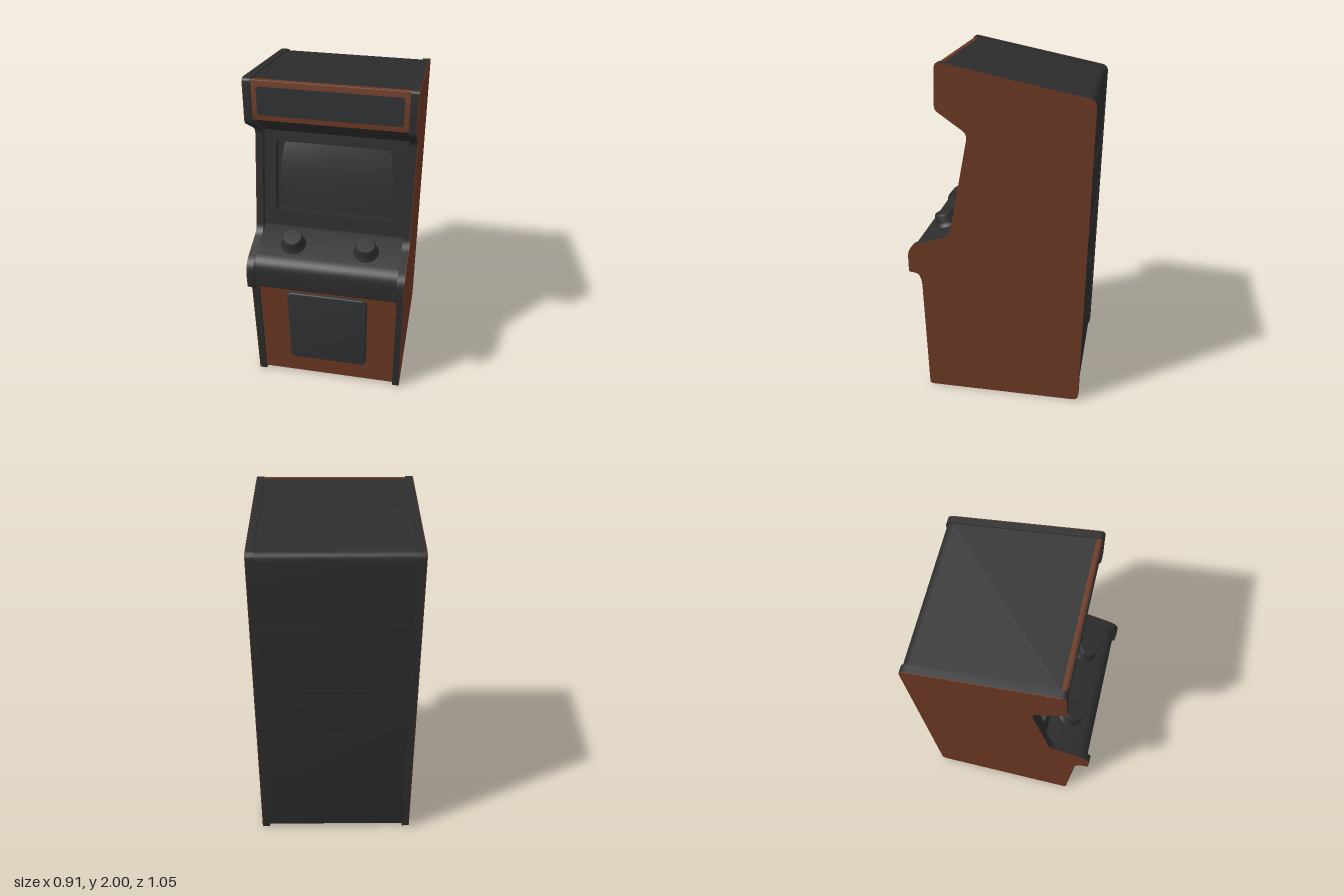
import * as THREE from 'three';
import { toCreasedNormals } from 'three/addons/utils/BufferGeometryUtils.js';

const mat = (name, color) => {
  const m = new THREE.MeshStandardMaterial({ color });
  m.name = name;
  return m;
};

// Closed outline from [x, y, cornerRadius] points
function roundedShape(points) {
  const shape = new THREE.Shape();
  const n = points.length;
  points.forEach(([x, y, r = 0], i) => {
    const toward = ([px, py]) => {
      const d = Math.hypot(px - x, py - y);
      const t = Math.min(r, d * 0.49) / d;
      return [x + (px - x) * t, y + (py - y) * t];
    };
    const a = toward(points[(i + n - 1) % n]);
    const b = toward(points[(i + 1) % n]);
    if (i === 0) shape.moveTo(...a);
    else shape.lineTo(...a);
    if (r > 0) shape.quadraticCurveTo(x, y, ...b);
  });
  shape.closePath();
  return shape;
}

const rect = (x0, x1, y0, y1, r) =>
  roundedShape([[x0, y0, r], [x1, y0, r], [x1, y1, r], [x0, y1, r]]);

function extrude(shape, depth, bevel = 0) {
  const geo = new THREE.ExtrudeGeometry(shape, {
    depth, curveSegments: 8, bevelEnabled: bevel > 0,
    bevelSize: bevel, bevelThickness: bevel, bevelOffset: -bevel, bevelSegments: 3,
  });
  return toCreasedNormals(geo, 0.6);
}

// Extrudes a (z, y) profile across x, centred on cx
function extrudeAcross(points, width, cx = 0) {
  return extrude(roundedShape(points), width).rotateY(-Math.PI / 2).translate(cx + width / 2, 0, 0);
}

export function createModel() {
  const black = mat('black', 0x2d2d2d);
  const brown = mat('brown', 0x6b3823);
  const glass = mat('darkGrey', 0x303233);
  const model = new THREE.Group();
  model.name = 'arcadeCabinet';

  const add = (name, geo, material, parent = model) => {
    const mesh = new THREE.Mesh(geo, material);
    mesh.name = name;
    parent.add(mesh);
    return mesh;
  };

  // Side panels: dark board with a thin brown outer face
  const sideProfile = [
    [0.43, 0, 0.02], [0.45, 0.765, 0.08], [0.525, 0.775, 0.01], [0.525, 0.94, 0.07],
    [0.275, 1.015, 0.05], [0.155, 1.625, 0.035], [0.332, 1.75, 0.025], [0.321, 2.003, 0.03],
    [-0.522, 1.838, 0.04], [-0.49, 0, 0.035],
  ];
  for (const s of [-1, 1]) {
    const side = s > 0 ? 'left' : 'right';
    add(side + 'SidePanel', extrudeAcross(sideProfile, 0.04, s * 0.433), black);
    add(side + 'SideFace', extrudeAcross(sideProfile, 0.003, s * 0.4545), brown);
  }

  // Cabinet body with control deck and a notch behind the screen
  add('body', extrudeAcross([
    [0.405, 0.02], [0.42, 0.765], [0.505, 0.77, 0.015], [0.505, 0.945, 0.07],
    [0.24, 1.027], [0.165, 1.04], [0.06, 1.605], [0.115, 1.605], [0.288, 1.757],
    [0.288, 1.99], [-0.515, 1.832, 0.04], [-0.482, 0.02, 0.02],
  ], 0.828), black);

  // Lower front panel and door
  add('frontPanel', extrudeAcross([
    [0.4, 0.02], [0.415, 0.02], [0.43, 0.769], [0.415, 0.769],
  ], 0.828), brown);
  const door = add('door', extrude(rect(-0.243, 0.24, -0.27, 0.27, 0.04), 0.02, 0.008), glass);
  door.position.set(0, 0.425, 0.412);
  door.rotation.x = 0.02;

  // Marquee frame and sign plate
  add('marqueeFrame', extrudeAcross([
    [0.286, 1.757], [0.32, 1.768], [0.312, 1.993, 0.008], [0.286, 1.99],
  ], 0.826), brown);
  const sign = add('marqueePlate', extrude(rect(-0.385, 0.385, -0.08, 0.08, 0.012), 0.006), glass);
  sign.position.set(0, 1.877, 0.313);
  sign.rotation.x = -0.035;

  // Tilted screen bezel with opening
  const screen = new THREE.Group();
  screen.name = 'screenUnit';
  screen.position.set(0, 1.3275, 0.1785);
  screen.rotation.x = -0.19;
  model.add(screen);
  const bezelShape = rect(-0.413, 0.413, -0.295, 0.285, 0);
  bezelShape.holes.push(rect(-0.345, 0.345, -0.2, 0.227, 0.02));
  add('screenBezel', extrude(bezelShape, 0.05).translate(0, 0, -0.05), black, screen);

  // Bulging picture tube with barrel-shaped edges
  const tube = new THREE.PlaneGeometry(0.65, 0.42, 20, 14);
  const p = tube.attributes.position;
  for (let i = 0; i < p.count; i++) {
    const u = p.getX(i) / 0.325, v = p.getY(i) / 0.21;
    p.setXYZ(i, p.getX(i) * (1 - 0.06 * v * v), p.getY(i) * (1 - 0.08 * u * u) + 0.013,
      -0.012 - 0.02 * (u * u + v * v));
  }
  tube.computeVertexNormals();
  add('screenGlass', tube, glass, screen);

  // Control knobs with flared collars
  const knobProfile = [[0.075, -0.035], [0.066, -0.022], [0.06, -0.01], [0.058, 0.028],
    [0.053, 0.036], [0, 0.037]].map(([r, y]) => new THREE.Vector2(r, y));
  const knobGeo = toCreasedNormals(new THREE.LatheGeometry(knobProfile, 28), 0.7);
  for (const s of [-1, 1]) {
    const knob = add(s > 0 ? 'leftKnob' : 'rightKnob', knobGeo, black);
    knob.position.set(s * 0.213, 1.029, 0.362);
    knob.rotation.x = 0.32;
  }

  // Feet
  for (const x of [-0.34, 0.34]) for (const z of [-0.4, 0.34]) {
    add('foot', new THREE.CylinderGeometry(0.04, 0.034, 0.022, 20), black).position.set(x, 0.013, z);
  }

  // Rear seams and latch slot
  for (const [name, y, w] of [['upperSeam', 1.43, 0.82], ['lowerSeam', 1.02, 0.82], ['latch', 0.72, 0.09]]) {
    const strip = add(name, new THREE.BoxGeometry(w, 0.008, 0.006), black);
    strip.position.set(0, y, -0.482 - 0.033 * (y - 0.02) / 1.81);
  }
  return model;
}
